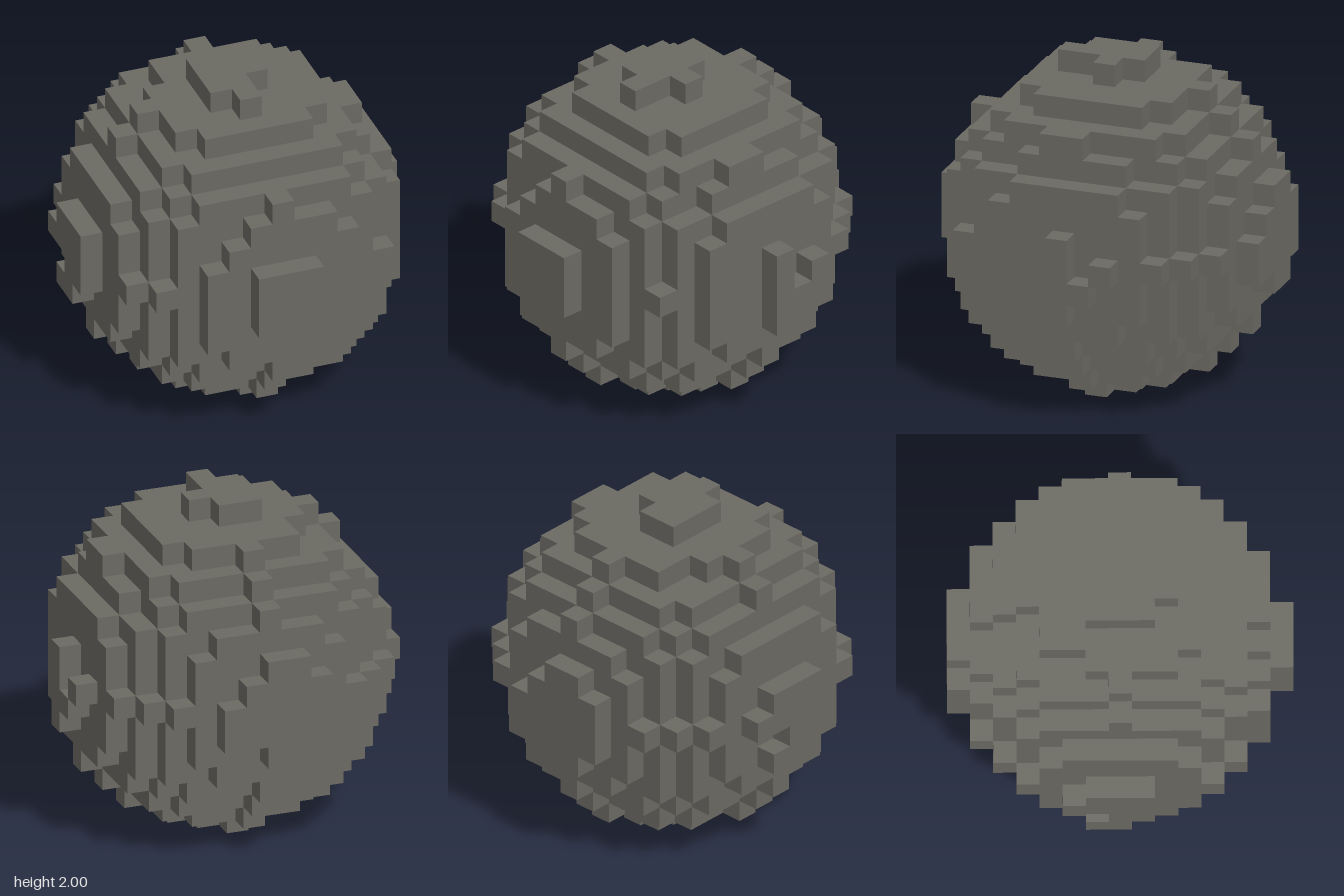
import * as THREE from 'three';
import { mergeGeometries } from 'three/addons/utils/BufferGeometryUtils.js';

const CELL = 2 / 15;   // fifteen blocks across
const key = (x, y, z) => `${x},${y},${z}`;

// Outermost patches, one per side: rows of [row, from, to]
const CAPS = [
  { at: (v, u) => [u, v, 7], rows: [[-1, -1, 1], [0, -1, 1], [1, -1, 1]] },
  { at: (v, u) => [u, v, -7], rows: [[2, -1, 0], [1, -2, 1], [0, -2, 2], [-1, -2, 2], [-2, -1, 0]] },
  { at: (v, u) => [7, v, u], rows: [[1, 0, 0], [0, 0, 0], [0, -2, -2], [-1, -1, 0], [-2, 0, 0]] },
  { at: (v, u) => [-7, v, u], rows: [[1, -1, 1], [0, -2, 1], [-1, 0, 1], [-2, -1, 0]] },
  { at: (v, u) => [u, 7, v], rows: [[-1, -1, 0], [0, -1, 1], [1, -1, 0], [2, 0, 0]] },
  { at: (v, u) => [u, -7, v], rows: [[-2, 0, 0], [-1, -1, 1], [0, -1, 2], [1, -1, 1], [2, 0, 0]] },
];

// Single blocks standing out of, or missing from, the round core
const BUMPS = [
  [6, -4, 0], [6, 0, -4], [-6, -4, 0], [-6, 0, 4], [-6, 0, -4],
  [0, 4, 6], [0, -4, 6], [0, 4, -6], [0, -4, -6], [4, 0, -6], [-4, 0, -6],
  [-4, 6, 0], [0, 6, -4], [4, -6, 0], [-4, -6, 0], [0, -6, 4], [0, -6, -4],
  [5, 5, 1],
];
const CHIPS = [[-2, 3, 6], [-3, 2, 6], [-3, 6, -2], [5, 4, 3], [5, 4, -3], [0, 5, 5]];

function fillBlocks() {
  const blocks = new Map();
  const add = (p) => blocks.set(key(...p), p);
  for (let x = -6; x <= 6; x++)
    for (let y = -6; y <= 6; y++)
      for (let z = -6; z <= 6; z++)
        if (x * x + y * y + z * z <= 50) add([x, y, z]);
  BUMPS.forEach(add);
  CHIPS.forEach((p) => blocks.delete(key(...p)));
  for (const { at, rows } of CAPS)
    for (const [v, from, to] of rows)
      for (let u = from; u <= to; u++) add(at(v, u));
  return blocks;
}

// One outward square for each of the six directions
function blockSides() {
  const side = (dir, turnX, turnY) => {
    const geometry = new THREE.PlaneGeometry(CELL, CELL);
    geometry.translate(0, 0, CELL / 2).rotateX(turnX).rotateY(turnY);
    return { dir, geometry };
  };
  const q = Math.PI / 2;
  return [
    side([0, 0, 1], 0, 0), side([0, 0, -1], 0, 2 * q),
    side([1, 0, 0], 0, q), side([-1, 0, 0], 0, -q),
    side([0, 1, 0], -q, 0), side([0, -1, 0], q, 0),
  ];
}

export function createModel() {
  const stone = new THREE.MeshStandardMaterial({ color: 0x6b6962 });
  stone.name = 'stone grey';

  // Keep only the block sides that face open air
  const blocks = fillBlocks();
  const sides = blockSides();
  const faces = [];
  for (const [x, y, z] of blocks.values())
    for (const { dir, geometry } of sides)
      if (!blocks.has(key(x + dir[0], y + dir[1], z + dir[2])))
        faces.push(geometry.clone().translate(x * CELL, y * CELL + 1, z * CELL));

  const boulder = new THREE.Mesh(mergeGeometries(faces), stone);
  boulder.name = 'blockBoulder';
  const model = new THREE.Group();
  model.name = 'boulder';
  model.add(boulder);
  return model;
}
